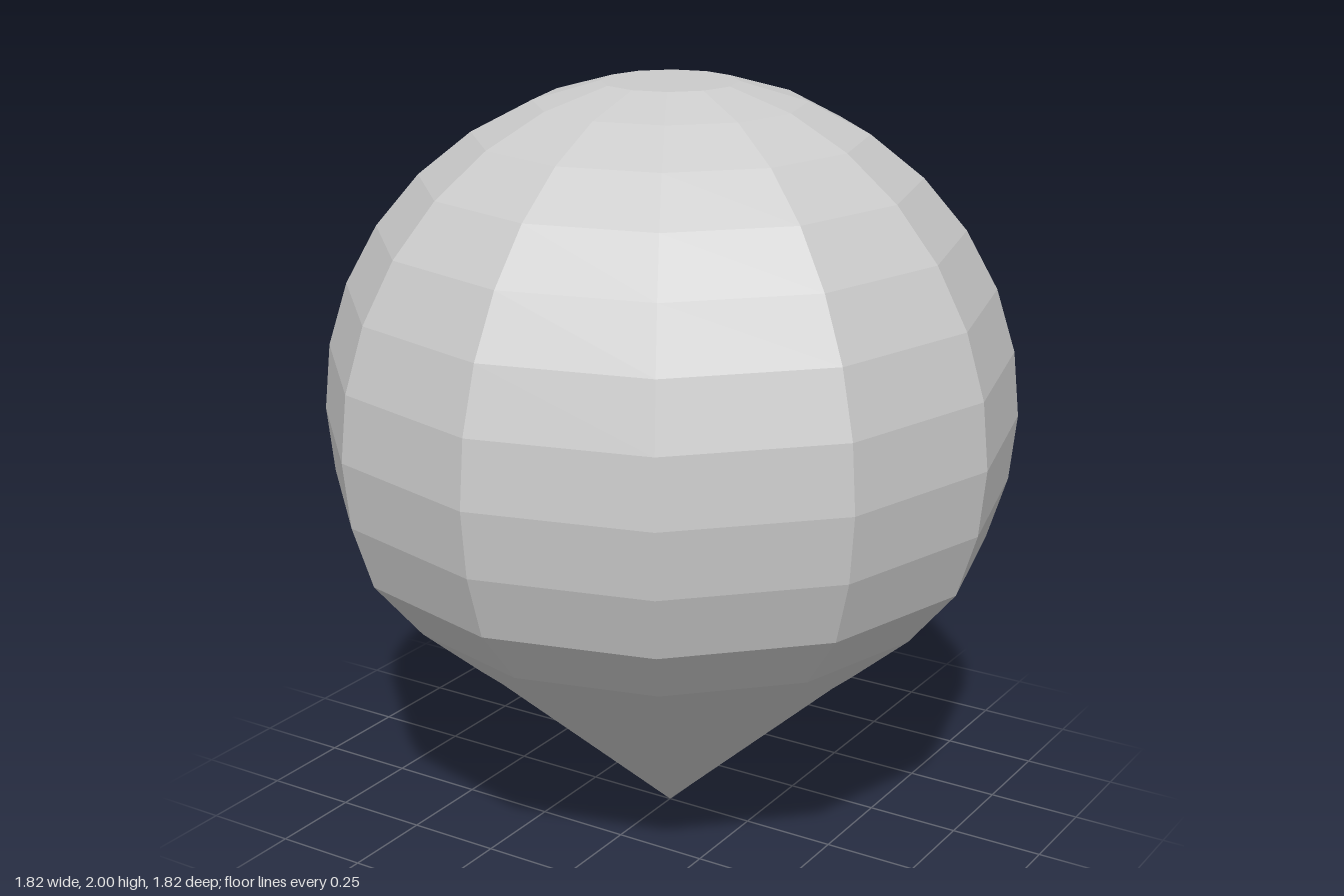
import * as THREE from 'three';

export function createModel() {
  const group = new THREE.Group();
  group.name = 'teardropBalloon';

  const sides = 12, radius = 0.91, centreY = 1.13, halfHeight = 0.887;

  // Profile from the pointed base, up the tapered skirt
  const profile = [[0, 0], [0.5, 0.455], [0.555, 0.5], [0.715, 0.638]]
    .map(([r, y]) => new THREE.Vector2(r, y));

  // Rounded crown: rings of a slightly squashed sphere, every 11.25 degrees
  for (let i = 10; i >= 1; i--) {
    const a = (i * Math.PI) / 16;
    profile.push(new THREE.Vector2(radius * Math.sin(a), centreY + halfHeight * Math.cos(a)));
  }

  // Flat cap at the top
  profile[profile.length - 1].set(0.175, 2);
  profile.push(new THREE.Vector2(0, 2));

  const geometry = new THREE.LatheGeometry(profile, sides).toNonIndexed();
  geometry.computeVertexNormals();

  const body = new THREE.Mesh(
    geometry,
    new THREE.MeshStandardMaterial({ color: 0xcccccc, flatShading: true })
  );
  body.name = 'balloonBody';
  group.add(body);
  return group;
}
